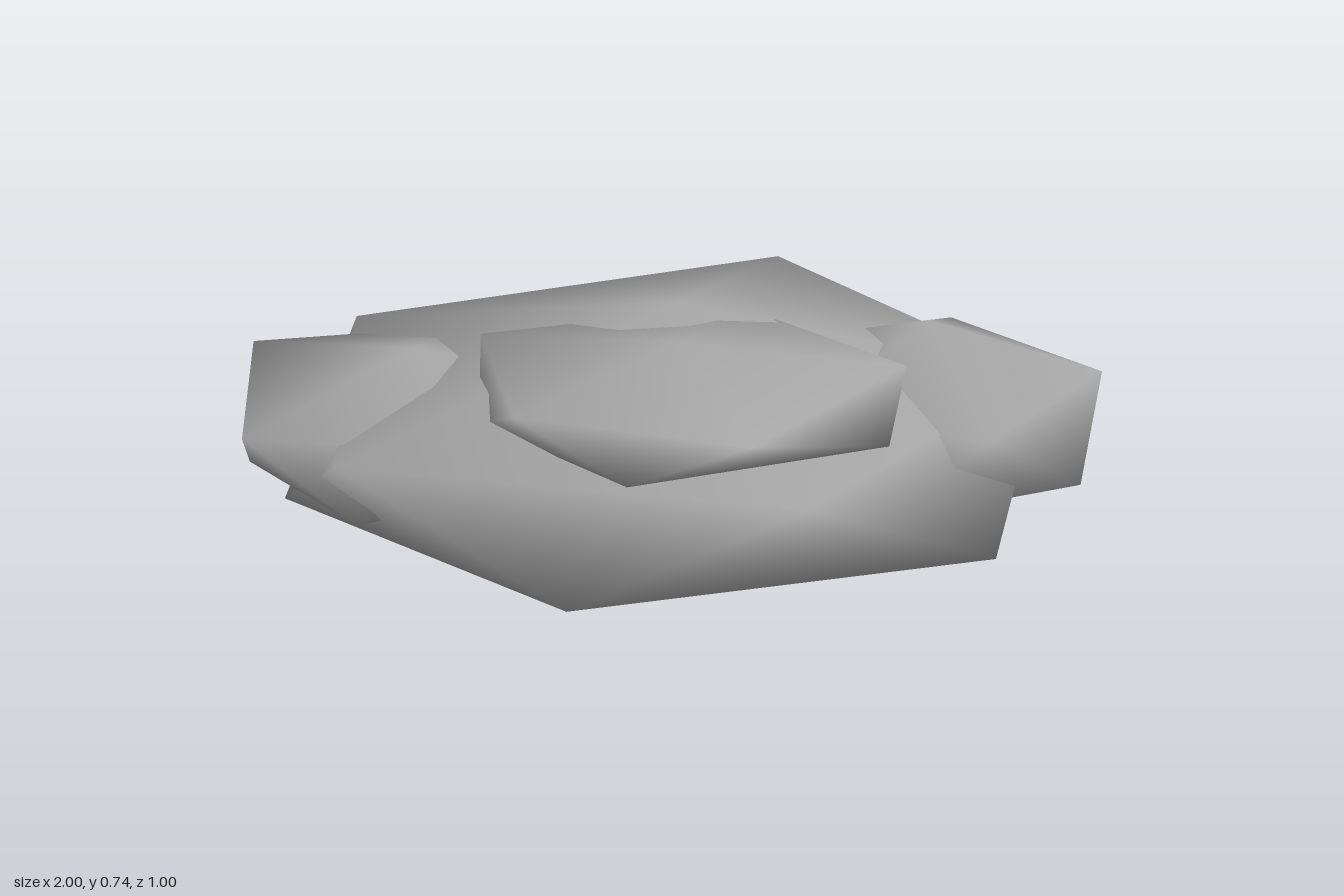
import * as THREE from 'three';

// Rough stone: a stretched icosahedron made from two poles and two staggered five-point rings.
// Rings run from +x towards +z; the lower ring is turned by half a step.
function stone(name, material, top, upper, lower, bottom) {
  const points = [top, ...upper, ...lower, bottom];
  const index = [];
  for (let i = 0; i < 5; i++) {
    const j = (i + 1) % 5;
    const u0 = 1 + i, u1 = 1 + j, l0 = 6 + i, l1 = 6 + j;
    index.push(0, u1, u0, u0, u1, l0, l0, u1, l1, 11, l0, l1);
  }
  const geometry = new THREE.BufferGeometry();
  geometry.setAttribute('position', new THREE.Float32BufferAttribute(points.flat(), 3));
  geometry.setIndex(index);
  geometry.computeVertexNormals();
  const mesh = new THREE.Mesh(geometry, material);
  mesh.name = name;
  return mesh;
}

export function createModel() {
  const group = new THREE.Group();
  group.name = 'rockCluster';
  const grey = new THREE.MeshStandardMaterial({ color: 0xa8a8a8 });
  grey.name = 'stone grey';

  // Large central boulder
  group.add(stone('mainBoulder', grey, [0, 0.72, 0.02],
    [[0.86, 0.47, 0], [0.26, 0.49, 0.5], [-0.77, 0.5, 0.31], [-0.75, 0.5, -0.29], [0.28, 0.5, -0.5]],
    [[0.72, 0.185, 0.32], [-0.27, 0.195, 0.465], [-0.93, 0.18, 0], [-0.3, 0.18, -0.485], [0.7, 0.19, -0.26]],
    [0, 0, 0.02]));

  // Stone sunk into the +x end
  group.add(stone('leftStone', grey, [0.58, 0.63, -0.01],
    [[1, 0.47, -0.01], [0.7, 0.475, 0.255], [0.26, 0.48, 0.17], [0.26, 0.48, -0.17], [0.68, 0.465, -0.26]],
    [[0.94, 0.26, 0.15], [0.46, 0.25, 0.25], [0.17, 0.25, 0], [0.46, 0.25, -0.25], [0.97, 0.26, -0.18]],
    [0.58, 0.1, -0.01]));

  // Stone sunk into the -x end
  group.add(stone('rightStone', grey, [-0.6, 0.605, 0],
    [[-0.2, 0.49, 0], [-0.48, 0.49, 0.25], [-0.98, 0.515, 0.21], [-0.985, 0.515, -0.175], [-0.48, 0.49, -0.25]],
    [[-0.27, 0.3, 0.15], [-0.74, 0.29, 0.25], [-1, 0.3, 0.01], [-0.74, 0.29, -0.25], [-0.27, 0.3, -0.15]],
    [-0.6, 0.21, 0]));

  // Flat stone resting on the upper front
  group.add(stone('topStone', grey, [0, 0.735, 0.2],
    [[0.505, 0.645, 0.19], [0.14, 0.645, 0.475], [-0.37, 0.645, 0.34], [-0.445, 0.65, 0.02], [0.15, 0.65, -0.06]],
    [[0.45, 0.55, 0.36], [-0.13, 0.53, 0.45], [-0.45, 0.53, 0.2], [-0.13, 0.53, -0.06], [0.42, 0.53, 0.03]],
    [0, 0.43, 0.2]));

  return group;
}
